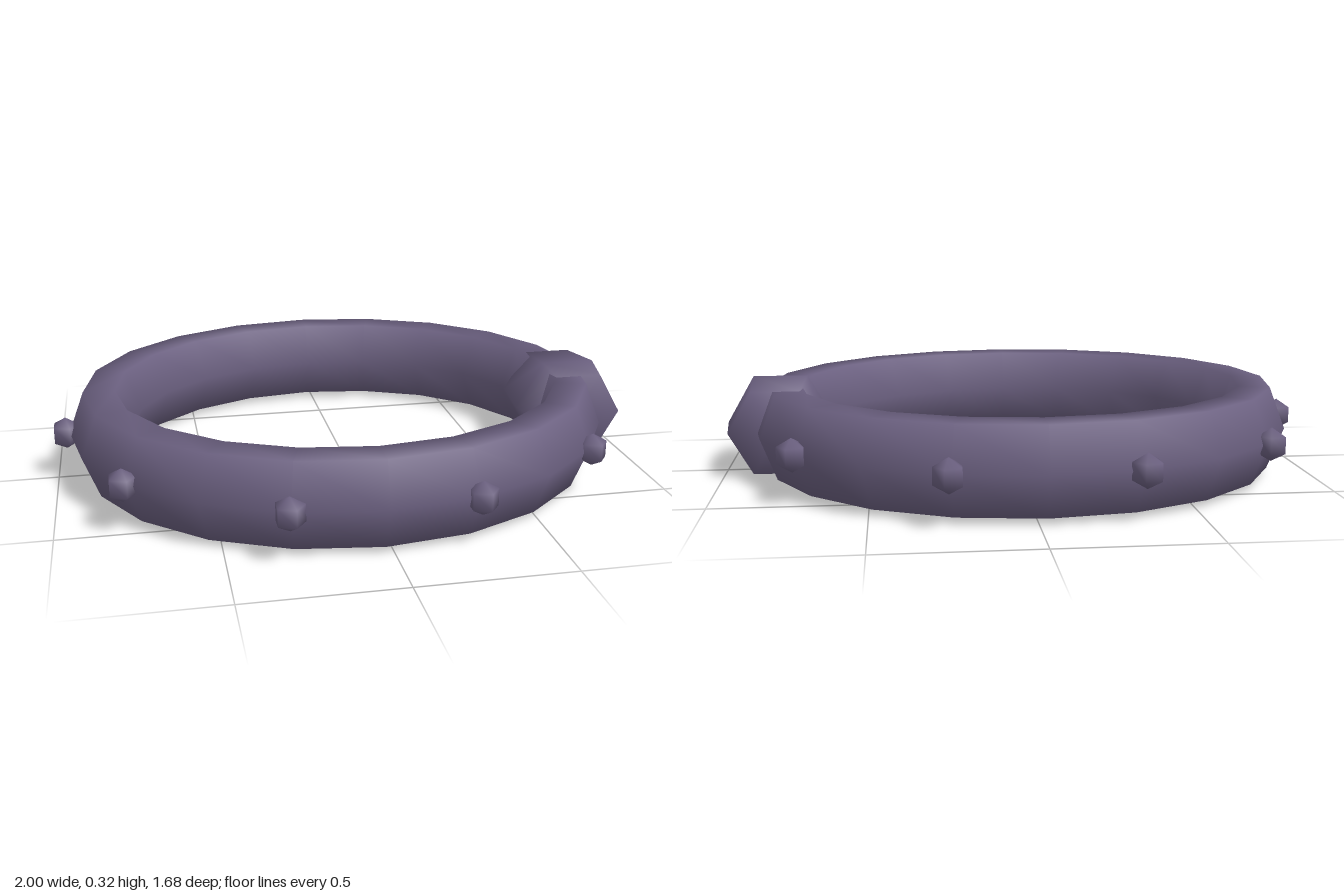
import * as THREE from 'three';
import { ParametricGeometry } from 'three/addons/geometries/ParametricGeometry.js';

const CX = -0.025; // centre of the band in x
const CY = 0.162; // mid height

export function createModel() {
  const model = new THREE.Group();
  model.name = 'studdedBracelet';
  const metal = new THREE.MeshStandardMaterial({ color: 0x6b6080 });
  metal.name = 'dullPurpleMetal';

  const add = (name, geometry, x, y, z) => {
    const mesh = new THREE.Mesh(geometry, metal);
    mesh.name = name;
    mesh.position.set(x, y, z);
    model.add(mesh);
  };

  // Oval band: six-sided section, taller than thick, swept in twenty steps
  const band = new ParametricGeometry((u, v, p) => {
    const a = u * Math.PI * 2;
    const t = v * Math.PI * 2;
    const r = 0.107 * Math.cos(t);
    p.set((0.82 + r) * Math.cos(a), 0.162 * Math.sin(t), -(0.727 + r) * Math.sin(a));
  }, 20, 6);
  add('band', band, CX, CY, 0);

  // Clasp: six-sided bulging sleeve around the band on its left side
  const profile = [[0, -0.157], [0.162, -0.157], [0.186, 0.05], [0.162, 0.157], [0, 0.157]]
    .map(([r, z]) => new THREE.Vector2(r, z));
  const clasp = new THREE.LatheGeometry(profile, 6, Math.PI / 2);
  clasp.rotateX(Math.PI / 2);
  add('clasp', clasp, 0.812, CY, 0);

  // Nine small studs around the outside, leaving room for the clasp
  const stud = new THREE.SphereGeometry(0.055, 5, 3);
  stud.rotateY(Math.PI);
  for (let i = 1; i < 10; i++) {
    const a = (i * Math.PI) / 5;
    add('stud' + i, stud, CX + 0.938 * Math.cos(a), CY, 0.836 * Math.sin(a));
  }
  return model;
}
